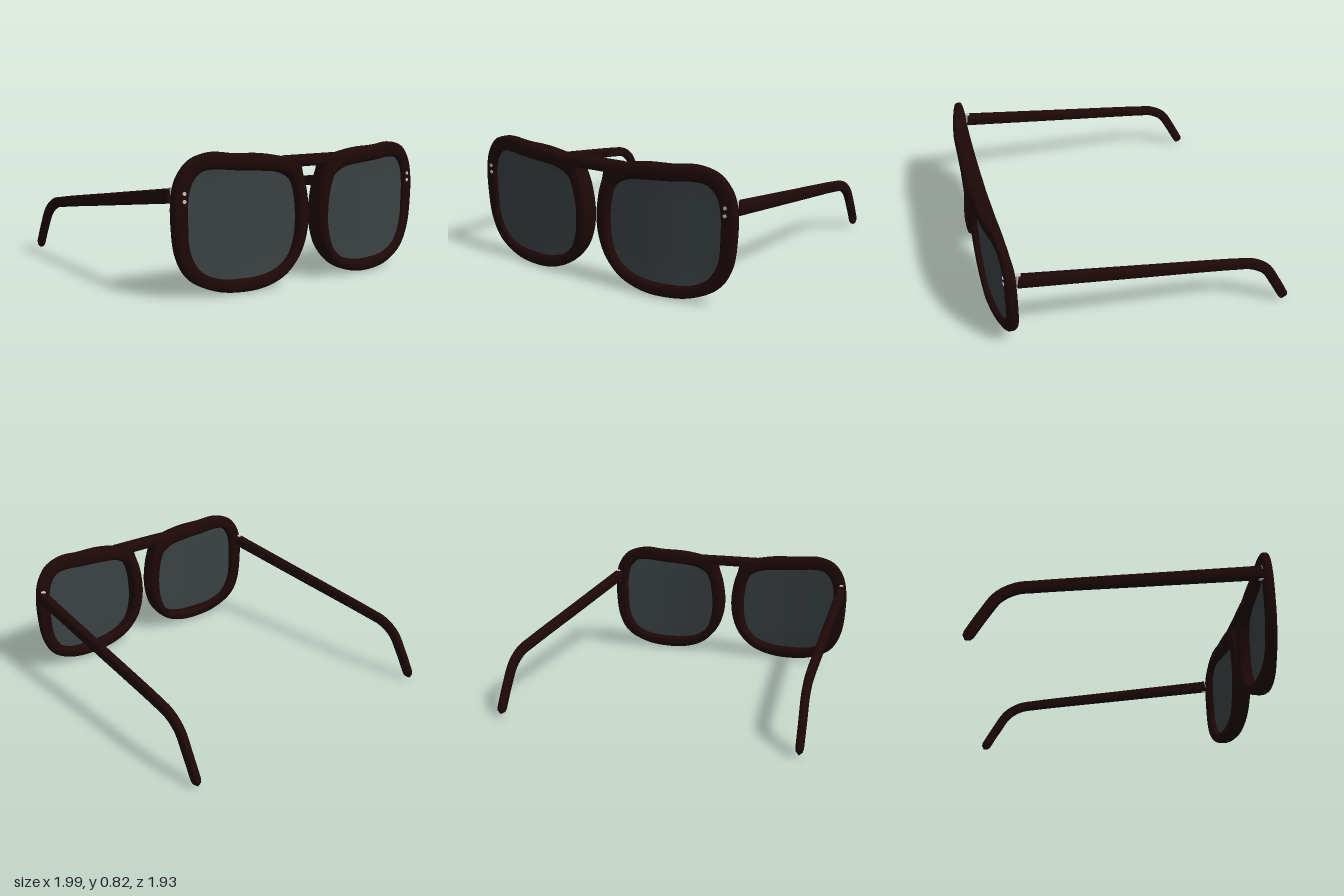
import * as THREE from 'three';
import { mergeVertices, toCreasedNormals } from 'three/addons/utils/BufferGeometryUtils.js';
import { ParametricGeometry } from 'three/addons/geometries/ParametricGeometry.js';

const { lerp, smoothstep } = THREE.MathUtils;

const material = (name, color, extra = {}) => {
  const m = new THREE.MeshStandardMaterial({ color, ...extra });
  m.name = name;
  return m;
};

// Wrapped front: z at a point, for t from 0 (back surface) to 1 (front surface)
function wrapZ(x, y, t) {
  const front = 0.965 - 0.01 * Math.min(1, 4 * x * x) - 0.078 * smoothstep(Math.abs(x), 0.4, 1);
  const back = 0.838 - 0.027 * x * x + 0.02 * smoothstep(Math.abs(y - 0.41), 0.2, 0.42);
  return lerp(back, front, t);
}

// Rim stations, counterclockwise: inner x, inner y, outer x, outer y
const RIM = [
  [0.125, 0.42, 0.033, 0.42], [0.132, 0.3, 0.05, 0.29], [0.17, 0.19, 0.1, 0.175],
  [0.25, 0.12, 0.2, 0.07], [0.37, 0.085, 0.33, 0.016], [0.5, 0.08, 0.49, 0],
  [0.66, 0.095, 0.68, 0.023], [0.77, 0.15, 0.84, 0.105], [0.835, 0.26, 0.915, 0.235],
  [0.85, 0.42, 0.942, 0.42], [0.845, 0.58, 0.94, 0.58], [0.82, 0.66, 0.912, 0.69],
  [0.77, 0.71, 0.84, 0.78], [0.7, 0.722, 0.71, 0.82], [0.55, 0.71, 0.55, 0.807],
  [0.38, 0.698, 0.38, 0.8], [0.26, 0.682, 0.24, 0.778], [0.18, 0.64, 0.11, 0.745],
  [0.155, 0.6, 0.083, 0.67], [0.138, 0.54, 0.052, 0.57],
];
const closed = (i) => new THREE.CatmullRomCurve3(
  RIM.map((p) => new THREE.Vector3(p[i], p[i + 1], 0)), true);
const inner = closed(0);
const outer = closed(2);

// Point between the inner (0) and outer (1) edge of a rim, always running counterclockwise
function rimPoint(side, u, across, target) {
  const s = (side > 0 ? u : 1 - u) % 1;
  target.copy(inner.getPoint(s)).lerp(outer.getPoint(s), across);
  target.x *= side;
}

const round = (c, power) => Math.sign(c) * Math.abs(c) ** power;

// Rounded section: how far across and how far forward for v from 0 to 1
function section(v) {
  const a = (v % 1) * Math.PI * 2;
  return [0.5 + 0.5 * round(Math.cos(a), 0.6), 0.5 + 0.5 * round(Math.sin(a), 0.6)];
}

const smooth = (geometry, angle) => {
  geometry.deleteAttribute('normal');
  geometry.deleteAttribute('uv');
  return toCreasedNormals(mergeVertices(geometry, 1e-5), angle);
};

const rimGeometry = (side) => smooth(new ParametricGeometry((u, v, target) => {
  const [across, forward] = section(v);
  rimPoint(side, u, across, target);
  target.z = wrapZ(target.x, target.y, forward);
}, 160, 28), 0.9);

// Bar joining both rims, its ends buried in them
const bridgeGeometry = () => smooth(new ParametricGeometry((u, v, target) => {
  const [across, forward] = section(v);
  const x = lerp(0.22, -0.22, u);
  const y = lerp(0.706, 0.776, across);
  target.set(x, y, wrapZ(x, y, forward));
}, 24, 28), 0.9);

// Curved sheet filling one opening, its edge set into the rim
function lensGeometry(side) {
  const centre = new THREE.Vector3(side * 0.49, 0.4, 0);
  return smooth(new ParametricGeometry((u, v, target) => {
    rimPoint(side, u, 0.2, target);
    target.lerp(centre, v);
    target.z = wrapZ(target.x, target.y, 0.66);
  }, 96, 16), 0.9);
}

// Arm swept along a path, tapering and hooking down behind the ear
function templeGeometry(side) {
  const path = new THREE.CatmullRomCurve3([
    [0.913, 0.583, 0.806], [0.934, 0.482, 0.1], [0.955, 0.385, -0.57], [0.96, 0.363, -0.68],
    [0.965, 0.3, -0.78], [0.97, 0.18, -0.857], [0.973, 0.01, -0.95],
  ].map(([x, y, z]) => new THREE.Vector3(side * x, y, z)));
  const rows = 100;
  return smooth(new ParametricGeometry((u, v, target) => {
    const row = Math.round(v * rows);
    const t = Math.max(0, (row - 1) / (rows - 1));
    const tip = Math.max(0, (t - 0.975) / 0.025);
    const size = row === 0 ? 0 : Math.sqrt(Math.max(0, 1 - tip * tip));
    const tangent = path.getTangentAt(t);
    const up = new THREE.Vector3(0, -tangent.z, tangent.y).normalize();
    const a = (u % 1) * Math.PI * 2;
    target.copy(path.getPointAt(t));
    target.x += round(Math.cos(a), 0.6) * size * lerp(0.032, 0.023, t);
    target.addScaledVector(up, -round(Math.sin(a), 0.6) * size * lerp(0.043, 0.033, t));
  }, 24, rows), 0.7);
}

export function createModel() {
  const group = new THREE.Group();
  const frameMat = material('dark brown acetate', 0x1e0808);
  const lensMat = material('smoke grey lens', 0x3b4242, { side: THREE.DoubleSide });
  const metalMat = material('silver metal', 0xc8c8c8);

  const add = (name, geometry, mat, x = 0, y = 0, z = 0) => {
    const mesh = new THREE.Mesh(geometry, mat);
    mesh.name = name;
    mesh.position.set(x, y, z);
    group.add(mesh);
  };

  add('bridge', bridgeGeometry(), frameMat);

  const rivet = new THREE.CylinderGeometry(0.011, 0.011, 0.03, 16).rotateX(Math.PI / 2);
  const barrel = new THREE.CylinderGeometry(0.016, 0.016, 0.092, 16);
  for (const side of [1, -1]) {
    const label = side > 0 ? 'left' : 'right';
    add(`${label}Rim`, rimGeometry(side), frameMat);
    add(`${label}Lens`, lensGeometry(side), lensMat);
    add(`${label}Temple`, templeGeometry(side), frameMat);
    add(`${label}Hinge`, barrel, metalMat, side * 0.91, 0.583, 0.8);
    // Two rivets on the front beside each lens
    for (const y of [0.555, 0.6]) {
      add(`${label}Rivet`, rivet, metalMat, side * 0.883, y, wrapZ(0.883, y, 1) - 0.011);
    }
  }
  return group;
}
